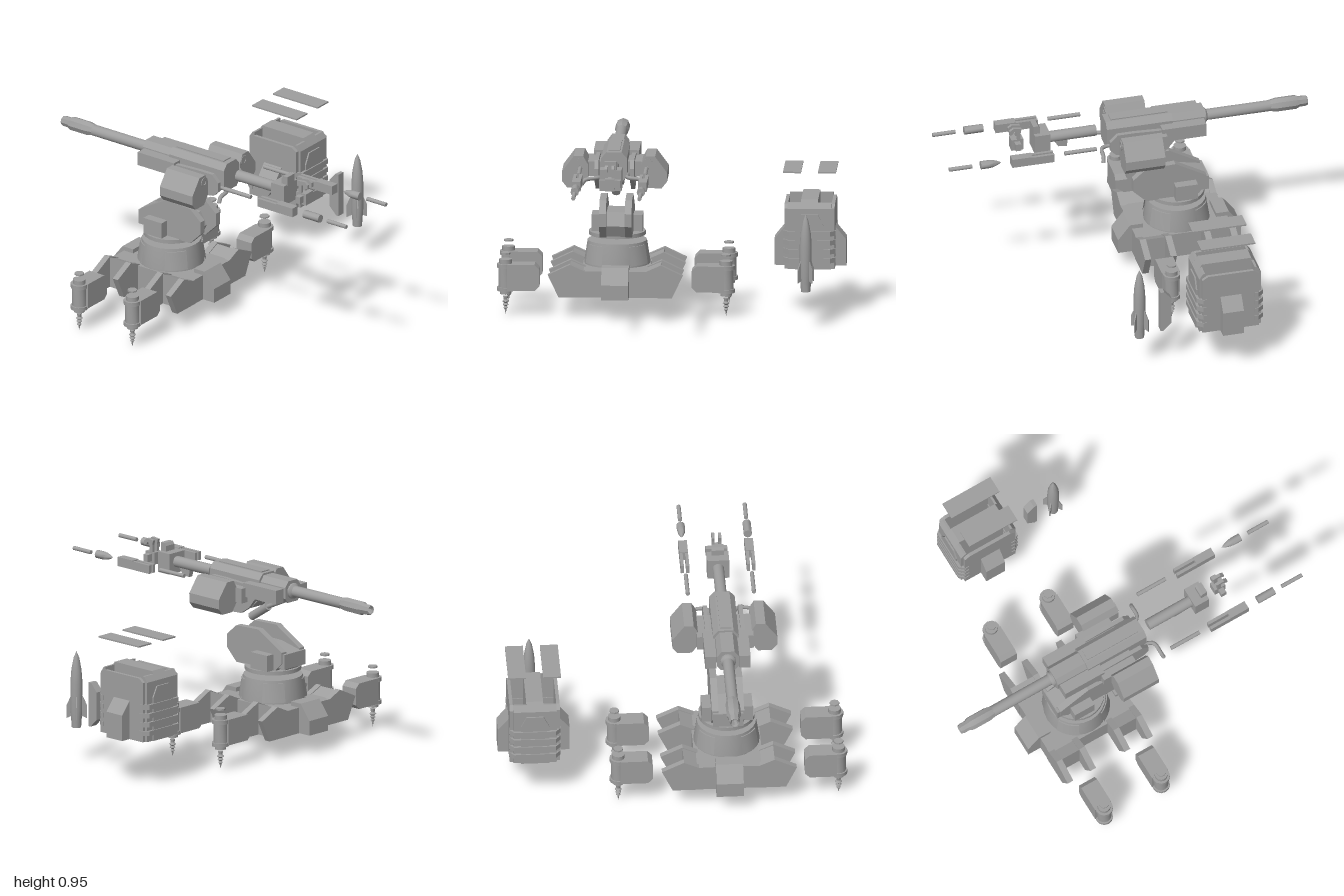
import * as THREE from 'three';
import { toCreasedNormals } from 'three/addons/utils/BufferGeometryUtils.js';

const material = new THREE.MeshStandardMaterial({ color: 0x9e9e9e, side: THREE.DoubleSide });

function add(parent, name, geometry, x = 0, y = 0, z = 0) {
  const mesh = new THREE.Mesh(geometry, material);
  mesh.name = name;
  mesh.position.set(x, y, z);
  parent.add(mesh);
  return mesh;
}

// Box given by its limits
function box(parent, name, x0, x1, y0, y1, z0, z1) {
  return add(parent, name, new THREE.BoxGeometry(Math.abs(x1 - x0), y1 - y0, Math.abs(z1 - z0)),
    (x0 + x1) / 2, (y0 + y1) / 2, (z0 + z1) / 2);
}

function extrude(points, depth) {
  const shape = new THREE.Shape(points.map(([a, b]) => new THREE.Vector2(a, b)));
  return new THREE.ExtrudeGeometry(shape, { depth, bevelEnabled: false });
}

// Profile of [x, y] points extruded along z
const alongZ = (parent, name, points, z0, z1) => add(parent, name, extrude(points, z1 - z0), 0, 0, z0);

// Profile of [z, y] points extruded along x
function alongX(parent, name, points, xa, xb) {
  const geometry = extrude(points.map(([z, y]) => [-z, y]), Math.abs(xb - xa)).rotateY(Math.PI / 2);
  return add(parent, name, geometry, Math.min(xa, xb), 0, 0);
}

// Profile of [x, z] points extruded along y
function alongY(parent, name, points, y0, y1) {
  const geometry = extrude(points.map(([x, z]) => [x, -z]), y1 - y0).rotateX(-Math.PI / 2);
  return add(parent, name, geometry, 0, y0, 0);
}

// Turned part from [radius, position] points, along y or z
function turned(parent, name, points, x, y, z, sides = 16, axis = 'y', start = 0, sweep = Math.PI * 2) {
  const lathe = new THREE.LatheGeometry(points.map(([r, h]) => new THREE.Vector2(r, h)), sides, start, sweep);
  if (axis === 'z') lathe.rotateX(Math.PI / 2);
  return add(parent, name, toCreasedNormals(lathe, 0.6), x, y, z);
}

function rodBetween(parent, name, a, b, r, sides = 12) {
  const from = new THREE.Vector3(...a), to = new THREE.Vector3(...b);
  const mesh = add(parent, name, new THREE.CylinderGeometry(r, r, from.distanceTo(to), sides));
  mesh.position.copy(from).add(to).multiplyScalar(0.5);
  mesh.quaternion.setFromUnitVectors(new THREE.Vector3(0, 1, 0), to.sub(from).normalize());
}

function group(parent, name, x = 0, z = 0) {
  const g = new THREE.Group();
  g.name = name;
  g.position.set(x, 0, z);
  parent.add(g);
  return g;
}

function buildBase(root) {
  const base = group(root, 'base', -0.29, -0.285);
  box(base, 'hull', -0.18, 0.18, 0.12, 0.26, -0.26, 0.26);
  for (const s of [-1, 1]) {
    // Wedge at the front and back
    alongX(base, 'endWedge', [[s * 0.2, 0.12], [s * 0.335, 0.12], [s * 0.335, 0.2], [s * 0.27, 0.283], [s * 0.2, 0.283]], -0.072, 0.072);
    for (const t of [-1, 1]) {
      // Arm with a fork of two plates
      const mid = t * 0.175;
      alongZ(base, 'arm', [[s * 0.14, 0.12], [s * 0.24, 0.12], [s * 0.24, 0.29], [s * 0.17, 0.26], [s * 0.14, 0.26]], mid - 0.087, mid + 0.087);
      for (const u of [-1, 1]) {
        const z = mid + u * 0.07;
        alongZ(base, 'forkPlate', [[s * 0.16, 0.12], [s * 0.3, 0.12], [s * 0.357, 0.24], [s * 0.24, 0.296], [s * 0.16, 0.26]], z - 0.017, z + 0.017);
      }
    }
  }
  turned(base, 'drum', [[0, 0.25], [0.175, 0.25], [0.175, 0.27], [0.157, 0.385], [0, 0.385]], 0, 0, 0, 24);
  for (let i = 0; i < 4; i++) {
    turned(base, 'drumPanel', [[0.165, 0.27], [0.181, 0.27], [0.165, 0.37], [0.15, 0.37]], 0, 0, 0, 4, 'y', (i + 0.5) * Math.PI / 2 - 0.35, 0.7);
  }
}

function buildLegs(root) {
  for (const s of [-1, 1]) for (const z of [-0.458, -0.108]) {
    const leg = group(root, 'leg', -0.29 + s * 0.583, z);
    const inner = -s;
    alongZ(leg, 'legBlock', [[inner * 0.01, 0.145], [inner * 0.155, 0.145], [inner * 0.18, 0.17], [inner * 0.18, 0.26], [inner * 0.155, 0.285], [inner * 0.01, 0.285]], -0.049, 0.049);
    turned(leg, 'legCylinder', [[0, 0.12], [0.03, 0.12], [0.03, 0.138], [0.047, 0.138], [0.047, 0.158], [0.039, 0.158], [0.039, 0.262],
      [0.047, 0.262], [0.047, 0.284], [0.034, 0.284], [0.034, 0.308], [0, 0.308]], 0, 0, 0, 12);
    turned(leg, 'drill', [[0, 0.01], [0.006, 0.04], [0.012, 0.045], [0.007, 0.055], [0.016, 0.062], [0.009, 0.072], [0.019, 0.08], [0.01, 0.09], [0.014, 0.108], [0, 0.108]], 0, 0, 0, 10);
    turned(leg, 'legCap', [[0, 0.334], [0.026, 0.334], [0.026, 0.343], [0, 0.343]], 0, 0, 0, 8);
  }
}

function buildYoke(root) {
  const yoke = group(root, 'yoke', -0.29);
  turned(yoke, 'turntable', [[0, 0.413], [0.15, 0.413], [0.15, 0.434], [0, 0.434]], 0, 0, -0.285, 24);
  box(yoke, 'sideBoxes', -0.135, 0.135, 0.434, 0.522, -0.37, -0.25);
  alongX(yoke, 'cradleBlock', [[-0.12, 0.43], [-0.09, 0.49], [-0.13, 0.56], [-0.3, 0.56], [-0.44, 0.53], [-0.44, 0.45], [-0.41, 0.43]], -0.05, 0.05);
  box(yoke, 'rearBlock', -0.08, 0.08, 0.45, 0.53, -0.445, -0.38);
  for (const s of [-1, 1]) {
    alongX(yoke, 'ear', [[-0.1, 0.43], [-0.03, 0.5], [-0.03, 0.57], [-0.1, 0.63], [-0.26, 0.637], [-0.43, 0.54], [-0.43, 0.48], [-0.38, 0.43]], s * 0.05, s * 0.086);
  }
}

function buildGun(root) {
  const gun = group(root, 'gun', -0.29);
  const Y = 0.865;
  turned(gun, 'barrel', [[0, -0.82], [0.03, -0.82], [0.03, -0.45], [0.042, -0.44], [0.042, -0.4], [0, -0.4]], 0, Y, 0, 16, 'z');
  turned(gun, 'muzzleBrake', [[0.018, -0.96], [0.018, -0.995], [0.024, -1], [0.029, -0.985], [0.029, -0.955], [0.038, -0.935], [0.038, -0.83], [0.031, -0.795]], 0, Y, 0, 8, 'z');
  // Receiver
  const section = [[-0.068, 0.8], [-0.045, 0.775], [0.045, 0.775], [0.068, 0.8], [0.068, 0.9], [0.04, 0.932], [-0.04, 0.932], [-0.068, 0.9]];
  alongZ(gun, 'receiver', section, -0.25, 0.11);
  alongZ(gun, 'receiverFront', section.map(([x, y]) => [x * 0.85, y < 0.85 ? y + 0.03 : y - 0.01]), -0.43, -0.25);
  box(gun, 'topRail', -0.03, 0.03, 0.92, 0.938, -0.23, 0.08);
  alongX(gun, 'underBody', [[0.08, 0.8], [0.06, 0.76], [-0.05, 0.725], [-0.17, 0.73], [-0.23, 0.79]], -0.045, 0.045);
  rodBetween(gun, 'pistonSleeve', [0, 0.668, -0.13], [0, 0.745, -0.25], 0.023);
  rodBetween(gun, 'pistonRod', [0, 0.735, -0.23], [0, 0.8, -0.37], 0.012);
  for (const s of [-1, 1]) {
    alongX(gun, 'cradlePlate', [[0.1, 0.84], [0.1, 0.79], [0.07, 0.76], [0.01, 0.75], [-0.04, 0.705], [-0.15, 0.71], [-0.21, 0.75], [-0.25, 0.8], [-0.25, 0.87], [-0.03, 0.88], [0.06, 0.88]], s * 0.083, s * 0.105);
    box(gun, 'sidePlate', s * 0.06, s * 0.12, 0.81, 0.885, -0.42, -0.18);
    box(gun, 'podMount', s * 0.06, s * 0.15, 0.78, 0.86, -0.2, 0.0);
    // Side pod
    alongZ(gun, 'sidePod', [[s * 0.14, 0.78], [s * 0.14, 0.855], [s * 0.165, 0.9], [s * 0.215, 0.9], [s * 0.278, 0.815], [s * 0.278, 0.765], [s * 0.25, 0.73], [s * 0.175, 0.73]], -0.155, 0.06);
    turned(gun, 'podPort', [[0.014, 0.03], [0.014, 0.064], [0.028, 0.064], [0.028, 0.05]], s * 0.175, 0.862, 0, 10, 'z');
    // Curved handle
    const path = new THREE.CatmullRomCurve3([[0.07, 0.8, 0.03], [0.07, 0.8, 0.12], [0.09, 0.8, 0.145], [0.15, 0.79, 0.15], [0.17, 0.765, 0.155]]
      .map(([x, y, z]) => new THREE.Vector3(s * x, y, z)));
    add(gun, 'handle', new THREE.TubeGeometry(path, 14, 0.011, 6));
  }
}

function buildBreech(root) {
  const breech = group(root, 'breech', -0.29);
  turned(breech, 'rearBarrel', [[0, 0.155], [0.03, 0.155], [0.03, 0.415], [0, 0.415]], 0, 0.865, 0, 16, 'z');
  box(breech, 'breechBlock', -0.058, 0.058, 0.803, 0.915, 0.415, 0.5);
  alongX(breech, 'breechTop', [[0.465, 0.91], [0.465, 0.945], [0.475, 0.96], [0.503, 0.96], [0.503, 0.91]], -0.032, 0.032);
  alongX(breech, 'underLug', [[0.385, 0.84], [0.36, 0.805], [0.315, 0.8], [0.31, 0.84]], -0.014, 0.014);
  // Breech plug
  box(breech, 'plug', -0.058, 0.058, 0.84, 0.88, 0.575, 0.605);
  box(breech, 'plugBody', -0.025, 0.025, 0.825, 0.89, 0.555, 0.62);
  for (const s of [-1, 1]) {
    alongX(breech, 'plugHook', [[0.57, 0.88], [0.57, 0.93], [0.565, 0.955], [0.61, 0.96], [0.63, 0.945], [0.63, 0.92], [0.615, 0.925], [0.605, 0.94], [0.59, 0.935], [0.59, 0.88]], s * 0.01, s * 0.026);
  }
}

function buildShellTrains(root) {
  const Y = 0.862;
  for (const [x, pointed] of [[-0.465, false], [-0.115, true]]) {
    const train = group(root, 'shellTrain', x);
    turned(train, 'innerRod', [[0, 0.195], [0.011, 0.195], [0.011, 0.37], [0, 0.37]], 0, Y, 0, 12, 'z');
    turned(train, 'outerRod', [[0, 0.875], [0.011, 0.875], [0.011, 1], [0, 1]], 0, Y, 0, 12, 'z');
    box(train, 'holder', -0.023, 0.023, Y - 0.03, Y + 0.02, 0.55, 0.66);
    for (const s of [-1, 1]) box(train, 'holderProng', s * 0.006, s * 0.023, Y - 0.03, Y + 0.016, 0.43, 0.55);
    const profile = pointed ? [[0, 0.715], [0.011, 0.735], [0.019, 0.76], [0.022, 0.785]] : [[0, 0.725], [0.022, 0.725]];
    turned(train, pointed ? 'shell' : 'shellCase', [...profile, [0.022, 0.828], [0, 0.828]], 0, Y, 0, 12, 'z');
  }
}

function buildMagazine(root) {
  const mag = group(root, 'magazine', 0.733, -0.283);
  const profile = [[0.168, 0.265], [0.168, 0.59], [0.135, 0.635], [-0.135, 0.635], [-0.168, 0.59], [-0.168, 0.265]];
  alongX(mag, 'centre', profile, -0.045, 0.045);
  for (const s of [-1, 1]) {
    // Open well with thin walls
    const well = [[0.168, 0.265], [0.168, 0.59], [0.147, 0.62], [0.135, 0.62], [0.135, 0.34], [-0.135, 0.34], [-0.135, 0.62], [-0.147, 0.62], [-0.168, 0.59], [-0.168, 0.265]];
    alongX(mag, 'well', well, s * 0.045, s * 0.115);
    alongX(mag, 'sideWall', profile.map(([z, y]) => [z * 0.92, Math.min(y, 0.61)]), s * 0.115, s * 0.133);
    alongZ(mag, 'sideFlange', [[s * 0.13, 0.265], [s * 0.19, 0.265], [s * 0.19, 0.405], [s * 0.133, 0.475]], -0.057, 0.057);
    box(mag, 'lid', s * 0.045, s * 0.14, 0.781, 0.789, -0.132, 0.163);
    // Ribs across the face, bent back at the corners
    for (let i = 0; i < 4; i++) {
      const y = 0.3 + i * 0.048;
      alongY(mag, 'rib', [[-0.137, s * 0.13], [-0.137, s * 0.15], [-0.11, s * 0.182], [0.11, s * 0.182], [0.137, s * 0.15], [0.137, s * 0.13]], y, y + 0.026);
    }
    // Arched panel on the front and back
    alongZ(mag, 'archPanel', [[-0.075, 0.265], [0.075, 0.265], [0.075, 0.5], [0.045, 0.56], [-0.045, 0.56], [-0.075, 0.5]], s > 0 ? 0.16 : -0.176, s > 0 ? 0.176 : -0.16);
  }
  // Loose cover in front of the magazine
  alongX(root, 'frontCover', [[0.07, 0.475], [0.05, 0.475], [0.01, 0.43], [0.01, 0.28], [0.055, 0.235], [0.07, 0.235]], 0.707, 0.75);
}

function buildRocket(root) {
  const rocket = group(root, 'rocket', 0.727, 0.18);
  turned(rocket, 'body', [[0, 0.205], [0.025, 0.205], [0.028, 0.25], [0.032, 0.3], [0.032, 0.45], [0.027, 0.52], [0.015, 0.585], [0, 0.622]], 0, 0, 0, 16);
  for (let i = 0; i < 4; i++) {
    const fin = alongZ(rocket, 'fin', [[0.02, 0.27], [0.054, 0.255], [0.054, 0.325], [0.02, 0.4]], -0.003, 0.003);
    fin.rotation.y = Math.PI / 4 + i * Math.PI / 2;
  }
}

export function createModel() {
  const root = new THREE.Group();
  root.name = 'explodedTurret';
  for (const build of [buildBase, buildLegs, buildYoke, buildGun, buildBreech, buildShellTrains, buildMagazine, buildRocket]) build(root);
  return root;
}
